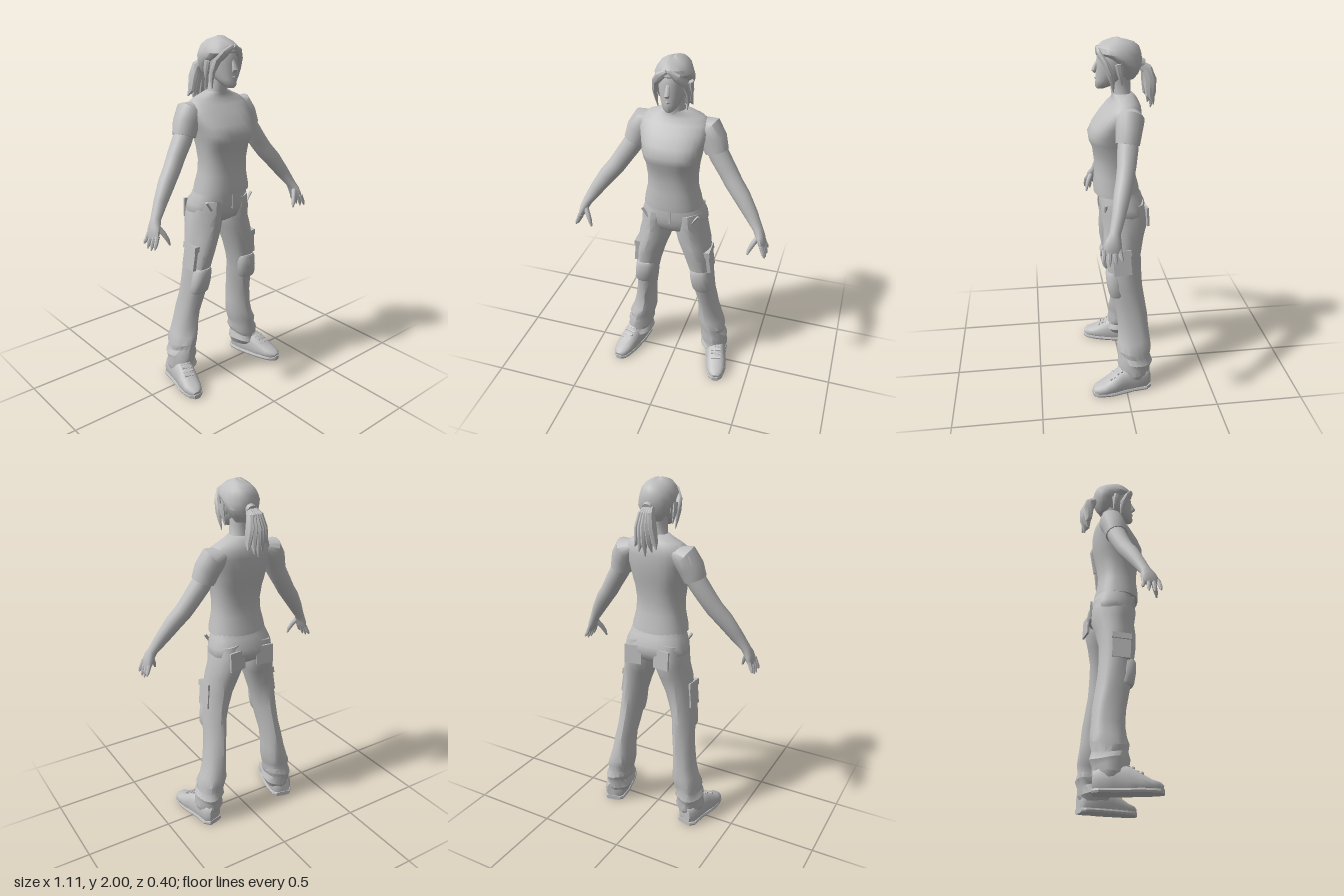
import * as THREE from 'three';
import { toCreasedNormals } from 'three/addons/utils/BufferGeometryUtils.js';

const grey = new THREE.MeshStandardMaterial({ color: 0xc0c0c0 });
grey.name = 'plain grey';

const X = new THREE.Vector3(1, 0, 0), Y = new THREE.Vector3(0, 1, 0), Z = new THREE.Vector3(0, 0, 1);
const sgnPow = (v, p) => Math.sign(v) * Math.abs(v) ** p;

// Skin over a list of rings, closed at both ends
function skin(rings) {
  const n = rings[0].length, pos = [], idx = [];
  rings.forEach(r => r.forEach(p => pos.push(p.x, p.y, p.z)));
  for (let i = 0; i < rings.length - 1; i++) for (let j = 0; j < n; j++) {
    const a = i * n + j, b = i * n + (j + 1) % n;
    idx.push(a, b, a + n, b, b + n, a + n);
  }
  [0, rings.length - 1].forEach((k, end) => {
    const c = new THREE.Vector3();
    rings[k].forEach(p => c.addScaledVector(p, 1 / n));
    const ci = pos.length / 3;
    pos.push(c.x, c.y, c.z);
    for (let j = 0; j < n; j++) {
      const a = k * n + j, b = k * n + (j + 1) % n;
      if (end) idx.push(ci, a, b); else idx.push(ci, b, a);
    }
  });
  const g = new THREE.BufferGeometry();
  g.setAttribute('position', new THREE.Float32BufferAttribute(pos, 3));
  g.setIndex(idx);
  return g;
}

// Upright body form; section: [y, xCentre, xRadius, zBack, zFront, squareness]
function body(sections, n = 20, wrinkle = 0) {
  return skin(sections.map(([y, cx, rx, zb, zf, e = 2], k) => {
    const ring = [];
    for (let j = 0; j < n; j++) {
      const a = j / n * Math.PI * 2;
      const w = 1 + wrinkle * Math.sin(a * 3 + k * 2.3) * Math.cos(a * 2 - k * 1.7);
      ring.push(new THREE.Vector3(
        cx + rx * w * sgnPow(Math.cos(a), 2 / e),
        y + wrinkle * 0.15 * Math.sin(a * 2 + k) * (k > 0 ? 1 : 0.5),
        (zb + zf) / 2 - (zf - zb) / 2 * w * sgnPow(Math.sin(a), 2 / e)));
    }
    return ring;
  }));
}

// Form following a path; point: [x, y, z, radiusU, radiusV]
function limb(points, ref = Z, n = 12, e = 2) {
  const c = points.map(p => new THREE.Vector3(p[0], p[1], p[2]));
  return skin(points.map((p, i) => {
    const t = c[Math.min(i + 1, c.length - 1)].clone().sub(c[Math.max(i - 1, 0)]).normalize();
    const u = t.clone().cross(ref).normalize(), v = t.clone().cross(u);
    return Array.from({ length: n }, (_, j) => {
      const a = j / n * Math.PI * 2;
      return c[i].clone().addScaledVector(u, p[3] * sgnPow(Math.cos(a), 2 / e))
        .addScaledVector(v, (p[4] ?? p[3]) * sgnPow(Math.sin(a), 2 / e));
    });
  }));
}

function mirrored(g) {
  const m = g.clone().scale(-1, 1, 1), ix = m.index.array;
  for (let i = 0; i < ix.length; i += 3) [ix[i], ix[i + 1]] = [ix[i + 1], ix[i]];
  return m;
}

function box(w, h, d, x, y, z, rx = 0, ry = 0, rz = 0) {
  const g = new THREE.BoxGeometry(w, h, d);
  return g.rotateX(rx).rotateY(ry).rotateZ(rz).translate(x, y, z);
}

function flattenSole(g) {
  const p = g.attributes.position;
  for (let i = 0; i < p.count; i++) p.setY(i, Math.max(0, p.getY(i)));
  return g;
}

export function createModel() {
  const model = new THREE.Group();
  const add = (name, g, crease = 0.8) => {
    const m = new THREE.Mesh(toCreasedNormals(g, crease), grey);
    m.name = name;
    model.add(m);
  };
  const pair = (name, g, crease) => {
    add(name + 'Left', g, crease);
    add(name + 'Right', mirrored(g), crease);
  };

  // Shirt
  add('shirt', body([
    [1.165, 0, 0.163, -0.105, 0.15, 2.3], [1.2, 0, 0.158, -0.1, 0.152, 2.3],
    [1.27, 0, 0.142, -0.082, 0.145, 2.3], [1.34, 0, 0.138, -0.078, 0.145, 2.3],
    [1.42, 0, 0.145, -0.088, 0.155, 2.5], [1.46, 0, 0.152, -0.095, 0.172, 2.8],
    [1.5, 0, 0.16, -0.102, 0.178, 2.8], [1.55, 0, 0.172, -0.11, 0.155, 2.6],
    [1.61, 0, 0.19, -0.112, 0.11, 2.4], [1.65, 0, 0.185, -0.108, 0.075, 2.3],
    [1.68, 0, 0.15, -0.095, 0.05], [1.7, 0, 0.1, -0.08, 0.045], [1.715, 0, 0.068, -0.065, 0.045]
  ], 28));
  pair('sleeve', limb([
    [0.12, 1.63, -0.035, 0.04, 0.055], [0.175, 1.61, -0.03, 0.075, 0.075],
    [0.205, 1.56, -0.02, 0.073, 0.07], [0.228, 1.495, -0.01, 0.064, 0.064]
  ], Z, 16));

  // Arms and hands
  pair('arm', limb([
    [0.2, 1.55, -0.02, 0.052, 0.055], [0.245, 1.47, -0.008, 0.055, 0.055],
    [0.295, 1.395, 0.005, 0.052, 0.05], [0.335, 1.335, 0.02, 0.05, 0.047],
    [0.385, 1.275, 0.04, 0.048, 0.045], [0.445, 1.19, 0.065, 0.039, 0.036],
    [0.495, 1.115, 0.09, 0.027, 0.029], [0.512, 1.08, 0.1, 0.025, 0.042],
    [0.524, 1.045, 0.106, 0.02, 0.048], [0.53, 1.025, 0.108, 0.013, 0.044]
  ], Z, 14));
  for (let i = 0; i < 4; i++) {
    const z = 0.07 + i * 0.026, drop = [0.02, 0.003, 0, 0.012][i];
    pair('finger' + (i + 1), limb([
      [0.526, 1.045, z, 0.012], [0.54, 1.01, z - 0.004 + i * 0.003, 0.011],
      [0.546, 0.99 + drop / 2, z - 0.008 + i * 0.005, 0.01], [0.553, 0.967 + drop, z - 0.01 + i * 0.006, 0.004]
    ], Z, 7));
  }
  pair('thumb', limb([
    [0.505, 1.085, 0.115, 0.016], [0.48, 1.045, 0.137, 0.014],
    [0.464, 1.01, 0.15, 0.011], [0.456, 0.982, 0.155, 0.005]
  ], Z, 8));

  // Trousers
  add('trouserSeat', body([
    [0.985, 0, 0.08, -0.07, 0.06], [1.01, 0, 0.165, -0.115, 0.1, 2.3], [1.06, 0, 0.19, -0.138, 0.118, 2.4],
    [1.1, 0, 0.184, -0.135, 0.122, 2.4], [1.15, 0, 0.166, -0.112, 0.122, 2.3], [1.18, 0, 0.155, -0.1, 0.118, 2.3]
  ], 24));
  add('fly', box(0.014, 0.085, 0.012, 0.006, 1.115, 0.121));
  pair('trouserLeg', body([
    [0.065, 0.252, 0.066, -0.125, 0.03], [0.1, 0.25, 0.084, -0.145, 0.05],
    [0.14, 0.248, 0.074, -0.142, 0.04], [0.175, 0.246, 0.082, -0.155, 0.05],
    [0.21, 0.238, 0.072, -0.148, 0.036], [0.25, 0.232, 0.078, -0.152, 0.048],
    [0.3, 0.218, 0.074, -0.15, 0.04], [0.37, 0.205, 0.064, -0.145, 0.032],
    [0.46, 0.195, 0.058, -0.132, 0.045], [0.55, 0.184, 0.06, -0.118, 0.062],
    [0.64, 0.173, 0.064, -0.105, 0.085], [0.72, 0.163, 0.069, -0.095, 0.095],
    [0.82, 0.145, 0.08, -0.098, 0.105], [0.92, 0.115, 0.095, -0.115, 0.11],
    [0.99, 0.1, 0.097, -0.132, 0.11], [1.06, 0.095, 0.092, -0.137, 0.115],
    [1.12, 0.09, 0.08, -0.12, 0.115]
  ], 18, 0.06), 0.6);

  // Pockets and knee patches
  pair('sidePocket', box(0.03, 0.14, 0.1, 0.212, 0.8, 0.015, 0.06, 0, 0.12));
  pair('sidePocketFlap', box(0.038, 0.035, 0.108, 0.208, 0.86, 0.018, 0.06, 0, 0.12));
  pair('frontPocket', box(0.012, 0.1, 0.012, 0.135, 1.09, 0.098, 0, 0.5, -0.6));
  pair('backPocket', box(0.1, 0.11, 0.012, 0.09, 1.04, -0.133, 0.05, 0.15, 0));
  const knee = body([
    [0.585, 0.182, 0.048, 0, 0.08, 2.4], [0.6, 0.18, 0.056, 0, 0.088, 2.4],
    [0.66, 0.172, 0.058, 0, 0.1, 2.4], [0.72, 0.165, 0.056, 0, 0.104, 2.4], [0.735, 0.164, 0.048, 0, 0.098, 2.4]
  ], 16);
  pair('kneePatch', knee);

  // Shoes
  pair('shoe', flattenSole(limb([
    [0.25, 0.06, -0.133, 0.042, 0.06], [0.257, 0.06, -0.11, 0.06, 0.075],
    [0.265, 0.06, -0.04, 0.061, 0.09], [0.282, 0.055, 0.035, 0.06, 0.082],
    [0.298, 0.045, 0.09, 0.06, 0.055], [0.31, 0.038, 0.14, 0.054, 0.034],
    [0.317, 0.033, 0.175, 0.042, 0.028], [0.32, 0.028, 0.194, 0.022, 0.018]
  ], Y, 18, 2.4)));
  pair('sole', limb([
    [0.25, 0.014, -0.137, 0.046, 0.014], [0.257, 0.014, -0.11, 0.066, 0.014],
    [0.266, 0.014, -0.03, 0.066, 0.014], [0.284, 0.014, 0.04, 0.066, 0.014],
    [0.3, 0.014, 0.1, 0.064, 0.014], [0.31, 0.014, 0.15, 0.054, 0.014],
    [0.317, 0.014, 0.18, 0.042, 0.014], [0.32, 0.014, 0.2, 0.018, 0.014]
  ], Y, 12, 4), 0.5);
  for (let i = 0; i < 4; i++)
    pair('lace' + (i + 1), box(0.06, 0.009, 0.012, 0.281 + i * 0.006, 0.137 - i * 0.013, 0.035 + i * 0.021, 0.5, 0.2, i % 2 ? 0.12 : -0.12));

  // Neck and head
  add('neck', body([
    [1.67, 0, 0.075, -0.075, 0.045], [1.715, 0, 0.055, -0.058, 0.047],
    [1.77, 0, 0.048, -0.055, 0.055], [1.83, 0, 0.05, -0.06, 0.06]
  ], 16));
  add('head', body([
    [1.742, 0, 0.018, 0.085, 0.125], [1.755, 0, 0.034, 0.045, 0.134],
    [1.785, 0, 0.052, -0.01, 0.131], [1.82, 0, 0.066, -0.06, 0.13],
    [1.86, 0, 0.075, -0.085, 0.127], [1.885, 0, 0.078, -0.09, 0.126],
    [1.92, 0, 0.078, -0.09, 0.12], [1.96, 0, 0.062, -0.07, 0.1], [1.985, 0, 0.03, -0.03, 0.06]
  ], 20));
  add('nose', limb([[0, 1.888, 0.116, 0.009], [0, 1.86, 0.129, 0.012], [0, 1.838, 0.138, 0.015], [0, 1.83, 0.128, 0.012]], X, 8));
  add('lips', limb([[-0.022, 1.796, 0.118, 0.004], [0, 1.798, 0.129, 0.008], [0.022, 1.796, 0.118, 0.004]], Z, 8));
  pair('ear', limb([[0.07, 1.825, 0.012, 0.006, 0.01], [0.08, 1.85, 0.008, 0.009, 0.02], [0.08, 1.875, 0.005, 0.007, 0.016]], Z, 8));

  // Hair cap, side locks and ponytail
  add('hair', body([
    [1.79, 0, 0.045, -0.075, -0.02], [1.82, 0, 0.072, -0.097, 0.01],
    [1.86, 0, 0.091, -0.11, 0.035], [1.895, 0, 0.098, -0.115, 0.085],
    [1.925, 0, 0.097, -0.114, 0.126], [1.955, 0, 0.085, -0.1, 0.122],
    [1.98, 0, 0.062, -0.072, 0.095], [1.996, 0, 0.03, -0.03, 0.055], [2, 0, 0.01, 0, 0.025]
  ], 20, 0.03), 0.6);
  pair('fringe', limb([
    [0.005, 1.955, 0.118, 0.012], [0.045, 1.925, 0.113, 0.024, 0.014],
    [0.075, 1.885, 0.085, 0.022, 0.016], [0.088, 1.83, 0.06, 0.013, 0.02],
    [0.085, 1.78, 0.05, 0.008, 0.012], [0.078, 1.735, 0.045, 0.002, 0.003]
  ], Z, 8), 0.5);
  pair('backLock', limb([
    [0.09, 1.88, 0.02, 0.012, 0.02], [0.092, 1.83, 0.01, 0.01, 0.018], [0.084, 1.77, 0.0, 0.003, 0.004]
  ], Z, 7), 0.5);
  add('hairTie', limb([[0, 1.872, -0.098, 0.03], [0, 1.862, -0.125, 0.028]], X, 10));
  for (let i = -2; i <= 2; i++) {
    const s = i * 0.016, low = 1.625 + Math.abs(i) * 0.022;
    add('ponytailStrand' + (i + 3), limb([
      [s * 0.3 - 0.005, 1.868, -0.1, 0.018], [s * 0.8 - 0.008, 1.835, -0.142, 0.03, 0.02],
      [s * 1.2 - 0.01, 1.775, -0.165 + Math.abs(i) * 0.005, 0.034, 0.02],
      [s * 1.6 - 0.012, 1.7, -0.174 + Math.abs(i) * 0.01, 0.022, 0.016],
      [s * 2 - 0.015, low, -0.168 - (i % 2) * 0.012, 0.003]
    ], X, 8), 0.5);
  }

  return model;
}
